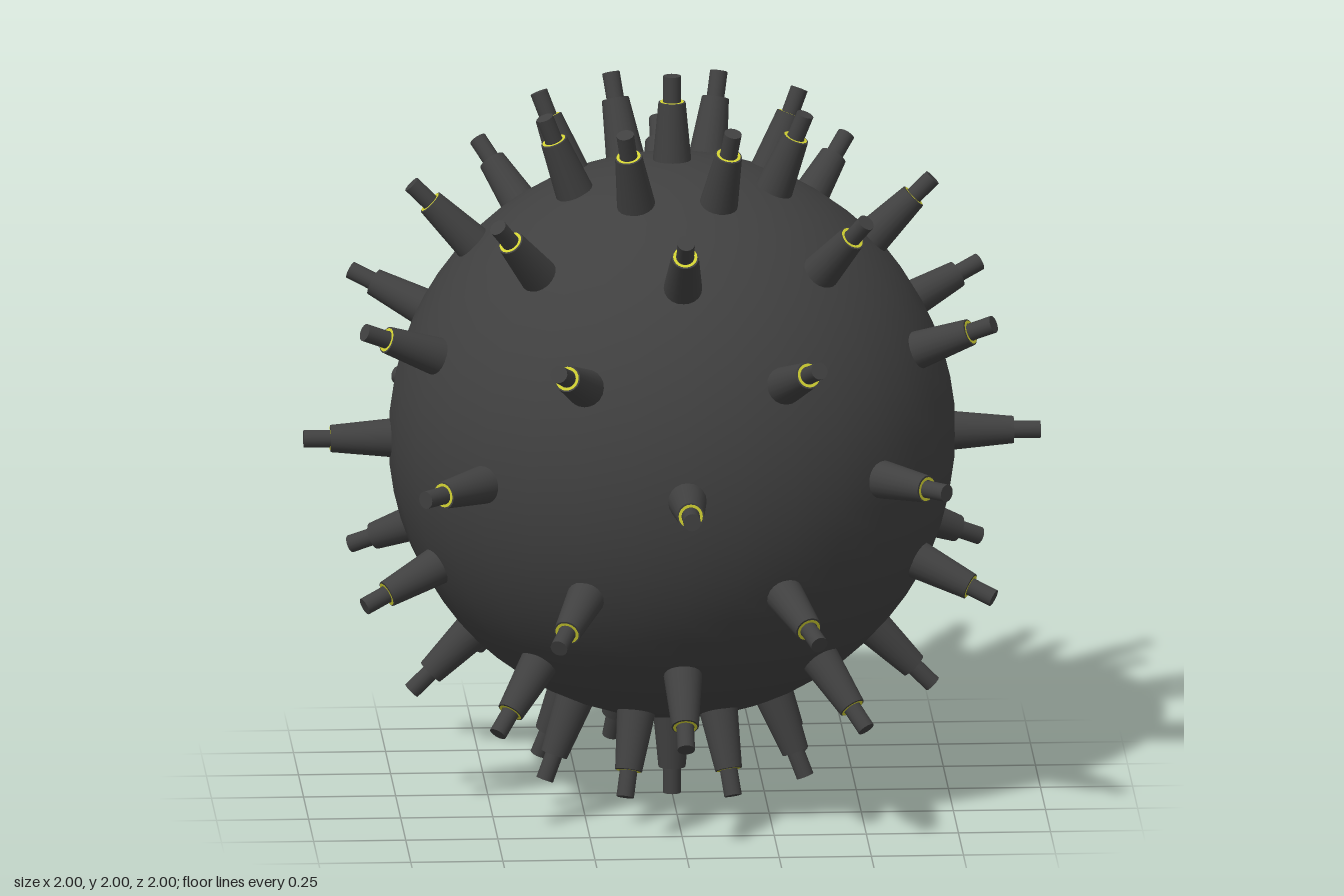
import * as THREE from 'three';

const mat = (name, color) => {
  const m = new THREE.MeshStandardMaterial({ color });
  m.name = name;
  return m;
};

export function createModel() {
  const darkGrey = mat('darkGrey', 0x404040);
  const yellow = mat('yellow', 0xd2d232);

  const model = new THREE.Group();
  model.name = 'spikedSphere';
  const add = (parent, name, geometry, material) => {
    const mesh = new THREE.Mesh(geometry, material);
    mesh.name = name;
    parent.add(mesh);
    return mesh;
  };

  // Round body
  const centre = new THREE.Vector3(0, 1, 0);
  add(model, 'body', new THREE.SphereGeometry(0.77, 32, 32), darkGrey).position.copy(centre);

  // Shared spike parts, pointing up +y with the origin at the body centre
  const baseGeo = new THREE.CylinderGeometry(0.037, 0.057, 0.21, 20).translate(0, 0.822, 0);
  const pinGeo = new THREE.CylinderGeometry(0.024, 0.024, 0.08, 16).translate(0, 0.96, 0);
  const ringGeo = new THREE.RingGeometry(0.025, 0.033, 20).rotateX(-Math.PI / 2).translate(0, 0.9285, 0);

  const up = new THREE.Vector3(0, 1, 0);
  const addSpike = (polar, azimuth) => {
    const spike = new THREE.Group();
    spike.name = 'spike';
    add(spike, 'spikeBase', baseGeo, darkGrey);
    add(spike, 'spikePin', pinGeo, darkGrey);
    add(spike, 'spikeRing', ringGeo, yellow);
    const direction = new THREE.Vector3().setFromSphericalCoords(1, polar, azimuth);
    spike.quaternion.setFromUnitVectors(up, direction);
    spike.position.copy(centre);
    model.add(spike);
  };

  // One spike at each pole, and seven staggered rows of eight between them
  addSpike(0, 0);
  addSpike(Math.PI, 0);
  const step = Math.PI / 8;
  for (let row = 1; row < 8; row++) {
    for (let i = 0; i < 8; i++) addSpike(row * step, (2 * i + (row % 2)) * step);
  }
  return model;
}
